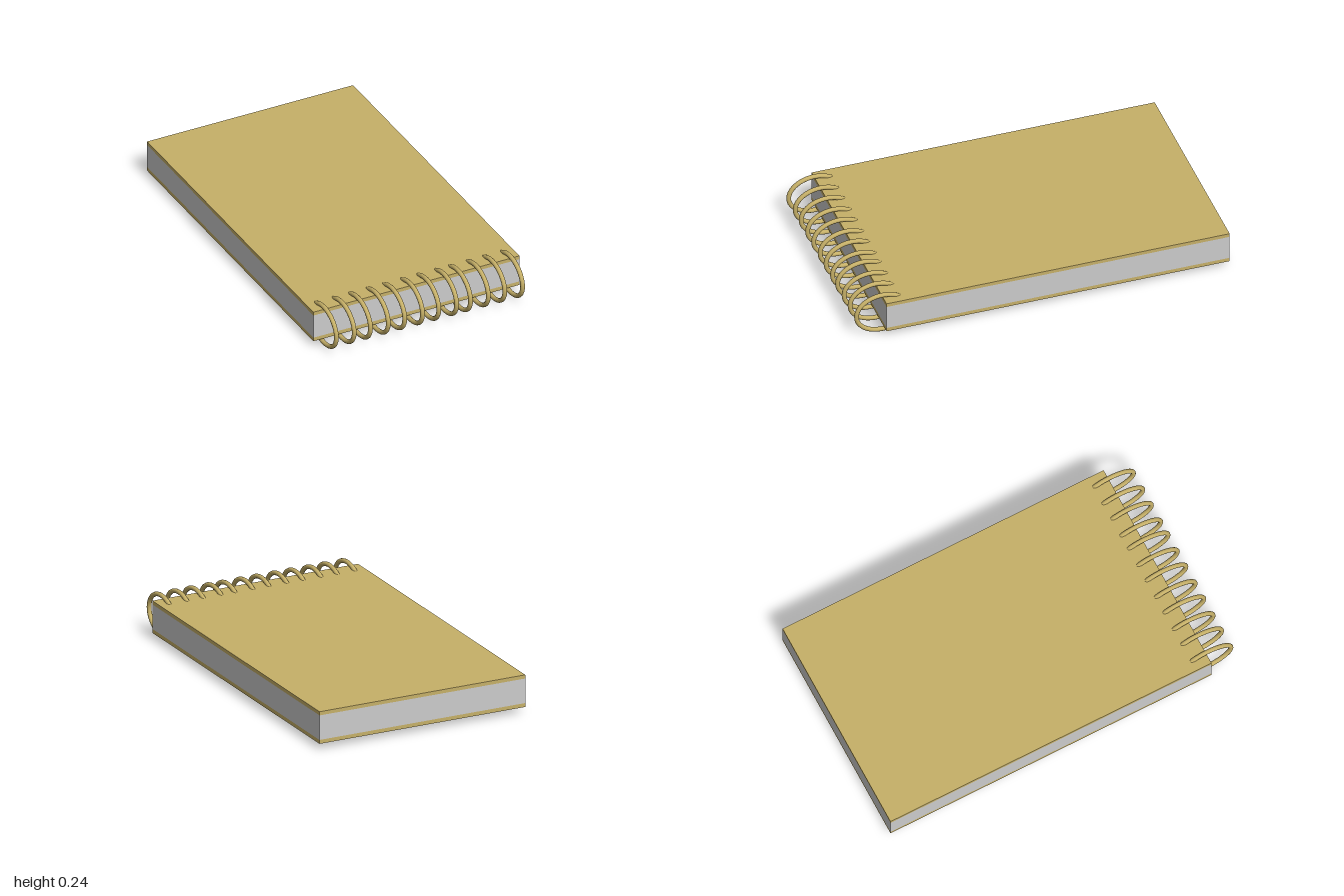
import * as THREE from 'three';

const WIDTH = 1.18, BACK = -1, FRONT = 0.845;

export function createModel() {
  const model = new THREE.Group();
  model.name = 'spiralNotebook';
  const card = new THREE.MeshStandardMaterial({ color: 0xc6b068 });
  const paper = new THREE.MeshStandardMaterial({ color: 0xcccccc });

  // Flat slab spanning the notebook between two heights
  const slab = (name, y0, y1, material) => {
    const mesh = new THREE.Mesh(new THREE.BoxGeometry(WIDTH, y1 - y0, FRONT - BACK), material);
    mesh.position.set(0, (y0 + y1) / 2, (FRONT + BACK) / 2);
    mesh.name = name;
    model.add(mesh);
  };
  slab('backCover', 0.033, 0.054, card);
  slab('pages', 0.054, 0.187, paper);
  slab('frontCover', 0.187, 0.207, card);

  // Oval wire loop in the y-z plane
  class Oval extends THREE.Curve {
    getPoint(t, target = new THREE.Vector3()) {
      const a = t * Math.PI * 2;
      return target.set(0, 0.106 * Math.sin(a), 0.138 * Math.cos(a));
    }
  }
  const loop = new THREE.TubeGeometry(new Oval(), 48, 0.012, 12, true);

  // Binding rings, set in pairs along the front edge
  const binding = new THREE.Group();
  binding.name = 'binding';
  for (const start of [-0.532, -0.337, -0.141, 0.054, 0.236, 0.432]) {
    for (const offset of [0, 0.102]) {
      const ring = new THREE.Mesh(loop, card);
      ring.name = 'bindingRing';
      ring.position.set(start + offset, 0.118, 0.85);
      binding.add(ring);
    }
  }
  model.add(binding);
  return model;
}
